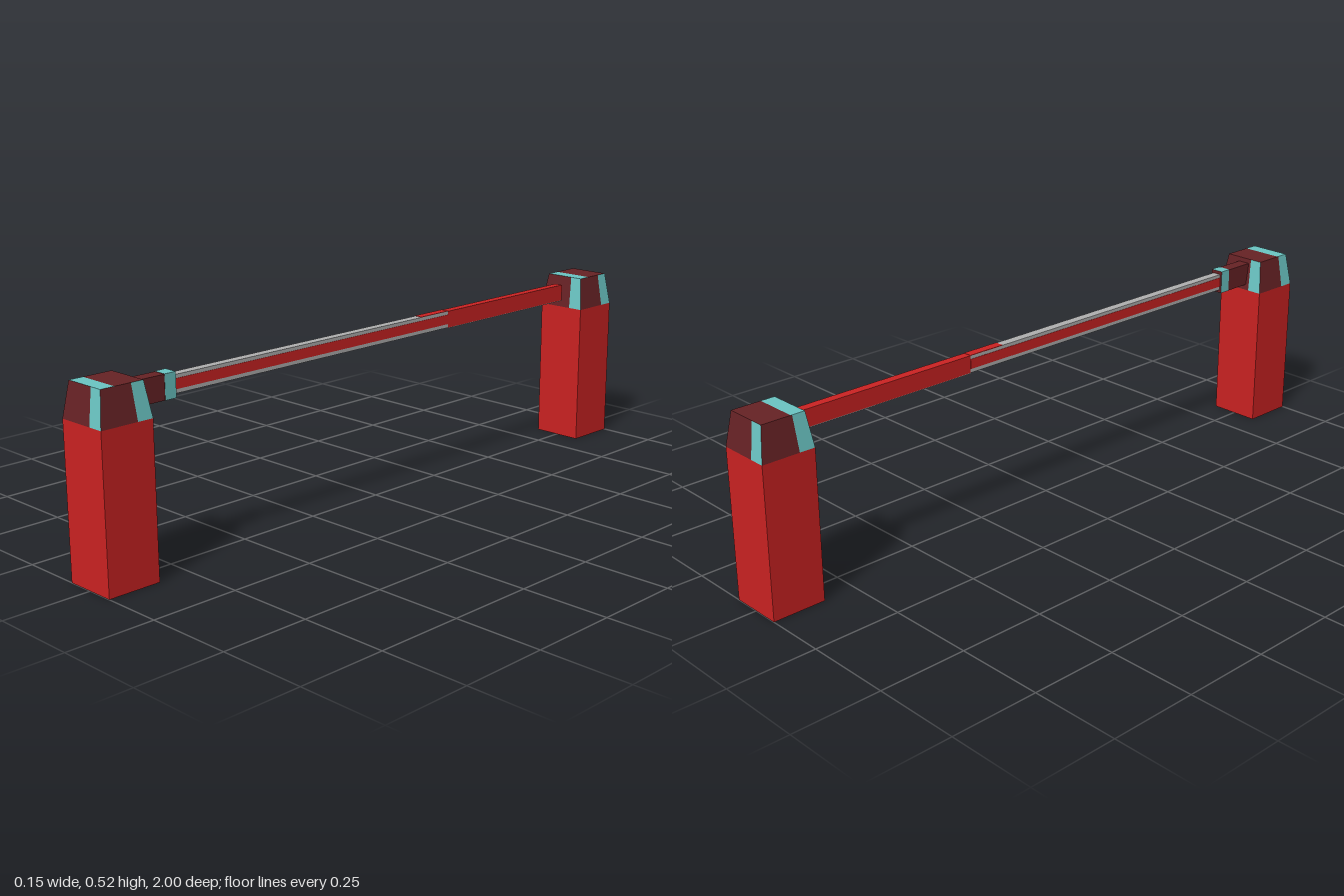
import * as THREE from 'three';

const mat = (name, color, side = THREE.FrontSide) => {
  const m = new THREE.MeshStandardMaterial({ color, side });
  m.name = name;
  return m;
};

// Flat-shaded mesh from quads, corners counter-clockwise seen from outside
function quadMesh(name, quads, material) {
  const pos = quads.flatMap(([a, b, c, d]) => [a, b, c, a, c, d].flat());
  const g = new THREE.BufferGeometry();
  g.setAttribute('position', new THREE.Float32BufferAttribute(pos, 3));
  g.computeVertexNormals();
  const mesh = new THREE.Mesh(g, material);
  mesh.name = name;
  return mesh;
}

export function createModel() {
  const red = mat('red', 0xcc2222, THREE.DoubleSide);
  const maroon = mat('maroon', 0x672225);
  const cyan = mat('cyan', 0x6bc6c4);
  const grey = mat('grey', 0xb0b0b0);
  const model = new THREE.Group();
  model.name = 'barrier';

  const R = 0.077, T = 0.063, CAP = 0.424, TOP = 0.52;

  // One wall panel spanning fractions u0..u1 of side k, tapering upwards
  const side = (k, u0, u1, r0, r1, y0, y1) => {
    const p = (u, r, y) => new THREE.Vector3(u * r, y, r)
      .applyAxisAngle(new THREE.Vector3(0, 1, 0), k * Math.PI / 2).toArray();
    return [p(u0, r0, y0), p(u1, r0, y0), p(u1, r1, y1), p(u0, r1, y1)];
  };
  const ring = (u0, u1, r0, r1, y0, y1) =>
    [0, 1, 2, 3].map(k => side(k, u0, u1, r0, r1, y0, y1));
  const lid = (z0, z1) => [[-T, TOP, z1], [T, TOP, z1], [T, TOP, z0], [-T, TOP, z0]];

  // Hollow posts with tapered, striped caps
  for (const s of [1, -1]) {
    const post = new THREE.Group();
    post.name = s > 0 ? 'frontPost' : 'backPost';
    post.position.z = s * 0.923;
    post.add(
      quadMesh('postBody', ring(-1, 1, R, R, 0, CAP), red),
      quadMesh('cap', [...ring(-1, 0.41, R, T, CAP, TOP), lid(-T, 0.022)], maroon),
      quadMesh('capStripes', [...ring(0.41, 1, R, T, CAP, TOP), lid(0.022, T)], cyan),
    );
    model.add(post);
  }

  const box = (name, x0, x1, y0, y1, z0, z1, material) => {
    const m = new THREE.Mesh(new THREE.BoxGeometry(x1 - x0, y1 - y0, z1 - z0), material);
    m.position.set((x0 + x1) / 2, (y0 + y1) / 2, (z0 + z1) / 2);
    m.name = name;
    model.add(m);
  };

  // Bracket holding the rail, with a bright collar
  box('bracket', -0.019, 0.019, 0.44, 0.507, 0.763, 0.87, maroon);
  box('bracketCollar', -0.02, 0.02, 0.44, 0.508, 0.728, 0.763,
    [cyan, cyan, cyan, maroon, maroon, maroon]);

  // Rail: grey length with red side bands, then a red length
  const W = 0.013, Y0 = 0.449, Y1 = 0.498;
  box('railGrey', -W, W, Y0, Y1, -0.29, 0.74, grey);
  for (const s of [1, -1]) {
    box('railSideBand', s * W - 0.001, s * W + 0.001, 0.46, 0.488, -0.29, 0.73, red);
  }
  box('railRed', -W, W, Y0, Y1, -0.83, -0.29, red);
  box('railTopBand', -W, W, Y1 - 0.001, Y1 + 0.001, -0.29, -0.175, red);
  box('railUnderside', -W, W, Y0 - 0.002, Y0, -0.83, -0.29, grey);

  return model;
}
